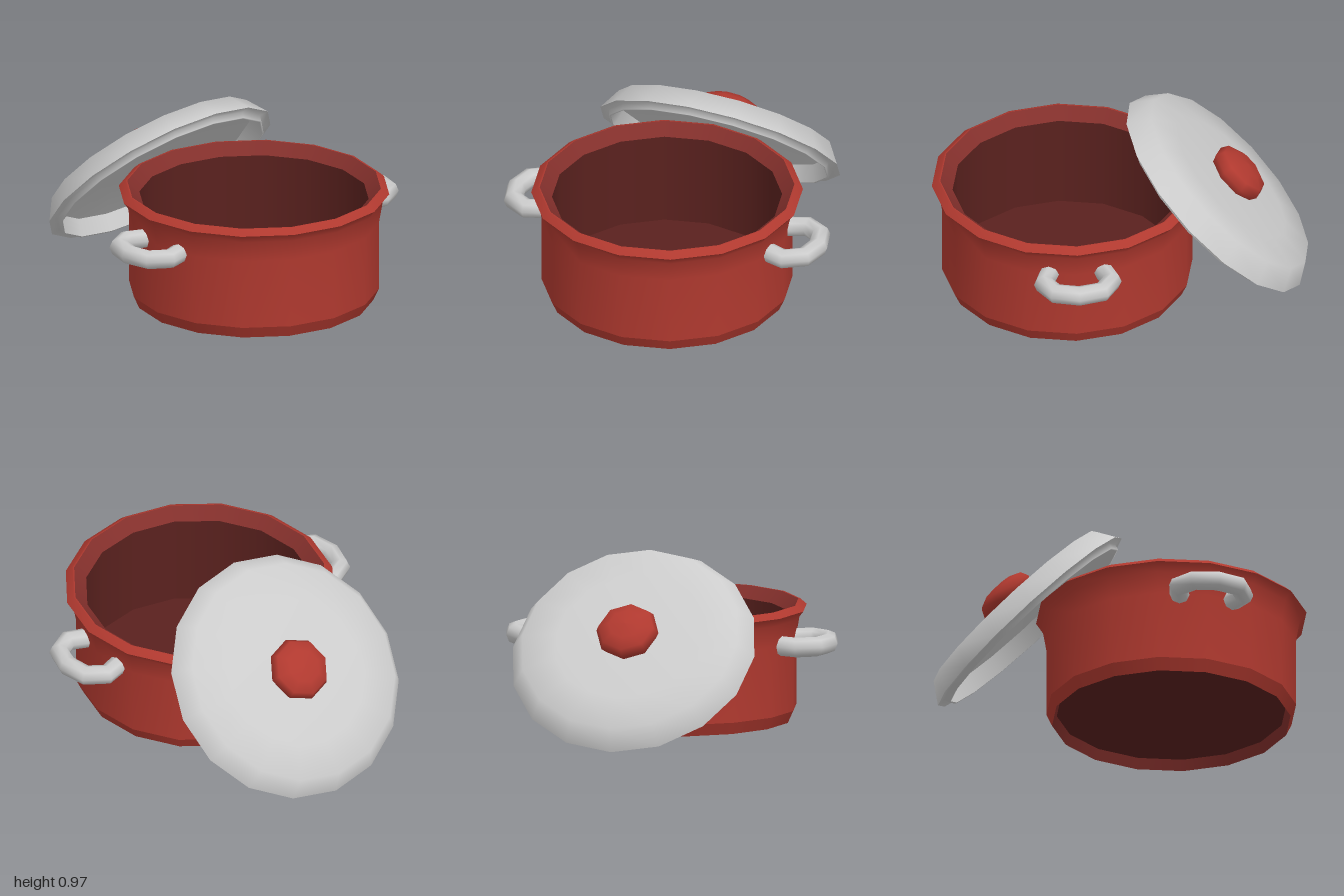
import * as THREE from 'three';
import { mergeGeometries } from 'three/addons/utils/BufferGeometryUtils.js';

const red = new THREE.MeshStandardMaterial({ color: 0xb0392f });
const lipRed = new THREE.MeshStandardMaterial({ color: 0x822f2b });
const darkRed = new THREE.MeshStandardMaterial({ color: 0x5a211e });
const steel = new THREE.MeshStandardMaterial({ color: 0xcccccc });

// Low-poly turned part; each profile of [radius, height] pairs is smooth, with sharp edges between them
function turned(name, profiles, sides, material) {
  const pieces = profiles.map((profile) => new THREE.LatheGeometry(
    profile.map(([r, y]) => new THREE.Vector2(r, y)), sides));
  const mesh = new THREE.Mesh(mergeGeometries(pieces), material);
  mesh.name = name;
  return mesh;
}

// Loop handle facing +z (side = 1) or -z (side = -1)
function loopHandle(name, side) {
  const half = [[0.14, 0.62], [0.18, 0.73], [0.122, 0.825]];
  const path = [
    ...half.map(([x, z]) => [-x, z]),
    [0, 0.855],
    ...half.slice().reverse(),
  ].map(([x, z]) => new THREE.Vector3(x * side, 0.435, z * side));
  const curve = new THREE.CatmullRomCurve3(path);
  // Place one ring of the tube exactly on each path point
  curve.getPointAt = (u, target) => curve.getPoint(u, target);
  curve.getTangentAt = (u, target) => curve.getTangent(u, target);
  const mesh = new THREE.Mesh(new THREE.TubeGeometry(curve, path.length - 1, 0.053, 8), steel);
  mesh.name = name;
  return mesh;
}

export function createModel() {
  const model = new THREE.Group();
  model.name = 'cookingPot';

  // Pot with flared rim, dark interior, shallow recessed base and two handles
  const pot = new THREE.Group();
  pot.name = 'pot';
  pot.position.x = 0.28;
  pot.add(
    turned('potBody', [
      [[0.635, 0], [0.665, 0.065]],
      [[0.665, 0.065], [0.665, 0.44], [0.685, 0.555], [0.72, 0.6]],
      [[0.72, 0.6], [0.685, 0.63], [0.675, 0.63]],
    ], 16, red),
    turned('innerLip', [[[0.675, 0.63], [0.61, 0.57]]], 16, lipRed),
    turned('baseRim', [[[0.61, 0.055], [0.635, 0]]], 16, lipRed),
    turned('potInterior', [
      [[0.61, 0.57], [0.61, 0.06]],
      [[0.61, 0.06], [0, 0.06]],
    ], 16, darkRed),
    turned('potBase', [[[0, 0.055], [0.61, 0.055]]], 16, darkRed),
    loopHandle('frontHandle', 1),
    loopHandle('backHandle', -1),
  );

  // Lid leaning on the rim, with its inner lip and knob
  const lid = new THREE.Group();
  lid.name = 'lid';
  lid.position.set(-0.5025, 0.4725, 0);
  lid.rotation.z = Math.PI / 4;
  lid.add(
    turned('lidUnderside', [
      [[0, 0.11], [0.3, 0.097], [0.565, 0.06]],
      [[0.565, 0.06], [0.597, -0.03]],
      [[0.597, -0.03], [0.607, -0.03], [0.615, 0], [0.662, 0]],
    ], 16, steel),
    turned('lidShell', [
      [[0.662, 0], [0.59, 0.113], [0.4, 0.13], [0.2, 0.14], [0, 0.143]],
    ], 16, steel),
    turned('lidKnob', [
      [[0, 0.115], [0.145, 0.125], [0.17, 0.18], [0.15, 0.223], [0.09, 0.25], [0, 0.258]],
    ], 8, red),
  );

  model.add(pot, lid);
  return model;
}
